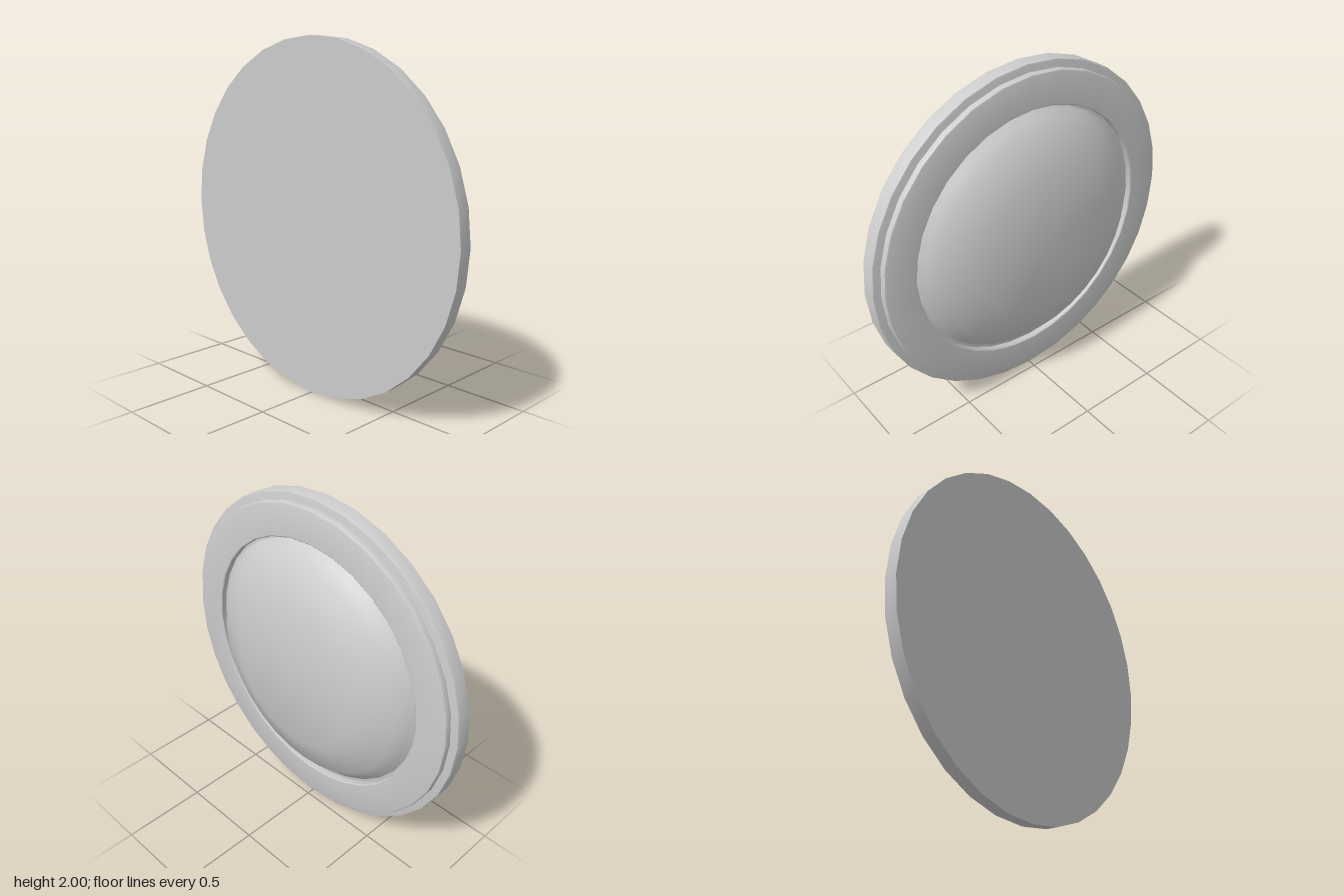
import * as THREE from 'three';
import { toCreasedNormals } from 'three/addons/utils/BufferGeometryUtils.js';

const SIDES = 32;
const material = new THREE.MeshStandardMaterial({ color: 0xcccccc });

// Turned part: profile of [radius, x] pairs, spun about the x axis
function turned(name, profile) {
  const points = profile.map(([r, x]) => new THREE.Vector2(r, x));
  const geometry = new THREE.LatheGeometry(points, SIDES);
  geometry.rotateZ(-Math.PI / 2);
  const mesh = new THREE.Mesh(toCreasedNormals(geometry, THREE.MathUtils.degToRad(32)), material);
  mesh.name = name;
  mesh.position.y = 1;
  return mesh;
}

export function createModel() {
  const group = new THREE.Group();
  group.name = 'domedDisc';

  // Flat backing disc with a softened front rim
  group.add(turned('backingDisc', [
    [0, -0.13], [1, -0.13], [1, -0.055], [0.997, -0.048], [0.988, -0.045], [0, -0.045],
  ]));

  // Raised ring, leaving a shallow recess in the middle
  group.add(turned('raisedRing', [
    [0.953, -0.045], [0.953, -0.017], [0.95, -0.011], [0.943, -0.008],
    [0.767, -0.008], [0.762, -0.012], [0.762, -0.045],
  ]));

  // Faceted-profile dome seated in the recess
  group.add(turned('dome', [
    [0.75, -0.05], [0.71, -0.008], [0.66, 0.04], [0.445, 0.13], [0, 0.13],
  ]));

  return group;
}
